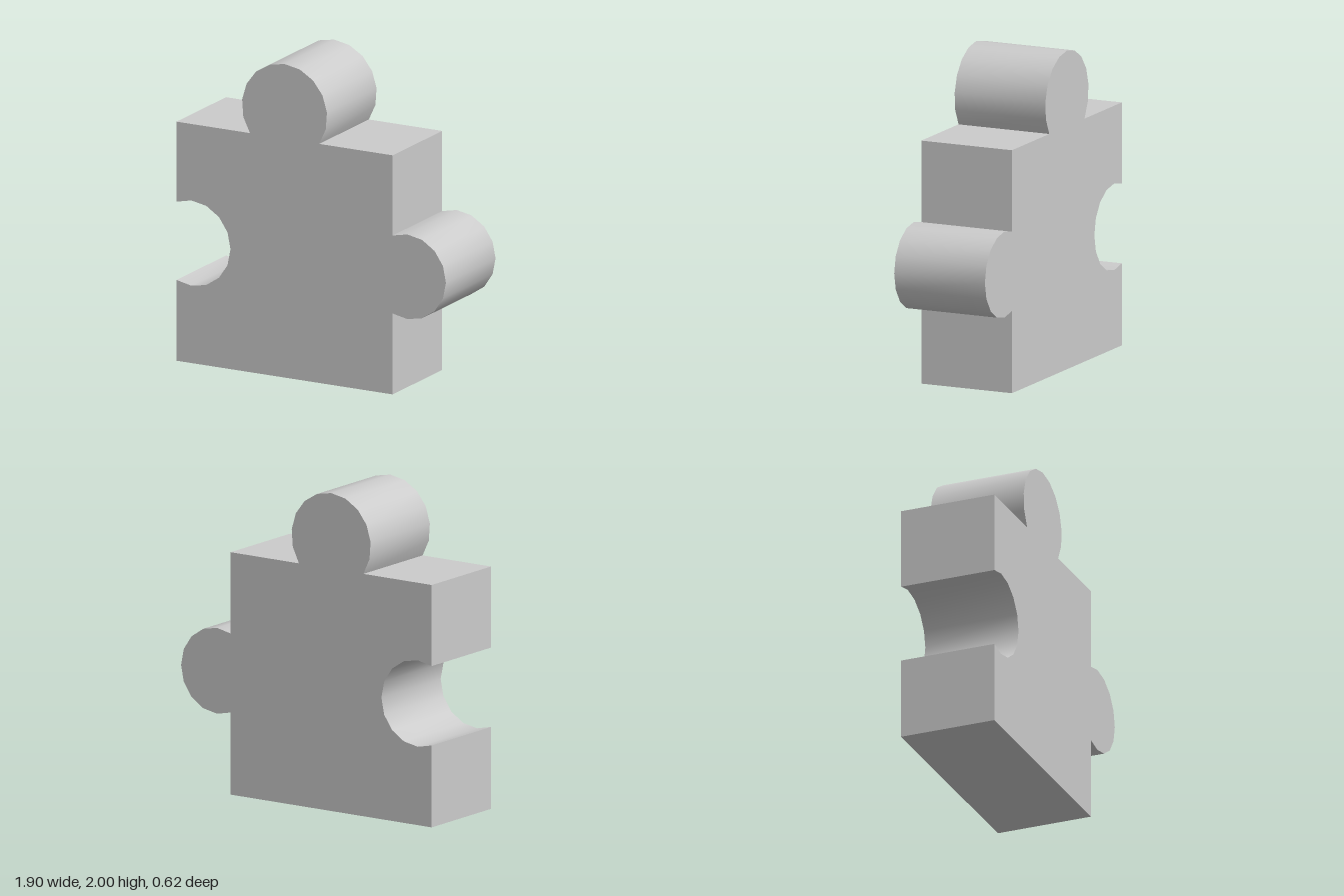
import * as THREE from 'three';
import { toCreasedNormals } from 'three/addons/utils/BufferGeometryUtils.js';

const LEFT = -0.95, RIGHT = 0.57, TOP = 1.525, DEPTH = 0.62;

// Points of an arc running from angle a to angle b (degrees)
function arc(cx, cy, r, a, b, steps) {
  return Array.from({ length: steps + 1 }, (_, i) => {
    const t = THREE.MathUtils.degToRad(a + ((b - a) * i) / steps);
    return new THREE.Vector2(cx + r * Math.cos(t), cy + r * Math.sin(t));
  });
}

export function createModel() {
  const group = new THREE.Group();
  group.name = 'puzzlePiece';

  // Counter-clockwise outline: square body, side knob, top knob, side socket
  const outline = [
    new THREE.Vector2(LEFT, 0),
    new THREE.Vector2(RIGHT, 0),
    ...arc(0.675, 0.765, 0.27, -113, 113, 10),
    new THREE.Vector2(RIGHT, TOP),
    ...arc(-0.19, 1.7, 0.3, -35.7, 215.7, 12),
    new THREE.Vector2(LEFT, TOP),
    ...arc(-0.842, 0.765, 0.272, 113.4, -113.4, 10),
  ];

  // Straight extrusion, smooth around the curves and sharp at the corners
  const extruded = new THREE.ExtrudeGeometry(new THREE.Shape(outline), {
    depth: DEPTH,
    bevelEnabled: false,
  });
  extruded.translate(0, 0, -DEPTH / 2);

  const piece = new THREE.Mesh(
    toCreasedNormals(extruded, 0.6),
    new THREE.MeshStandardMaterial({ color: 0xcccccc })
  );
  piece.name = 'body';
  group.add(piece);
  return group;
}
